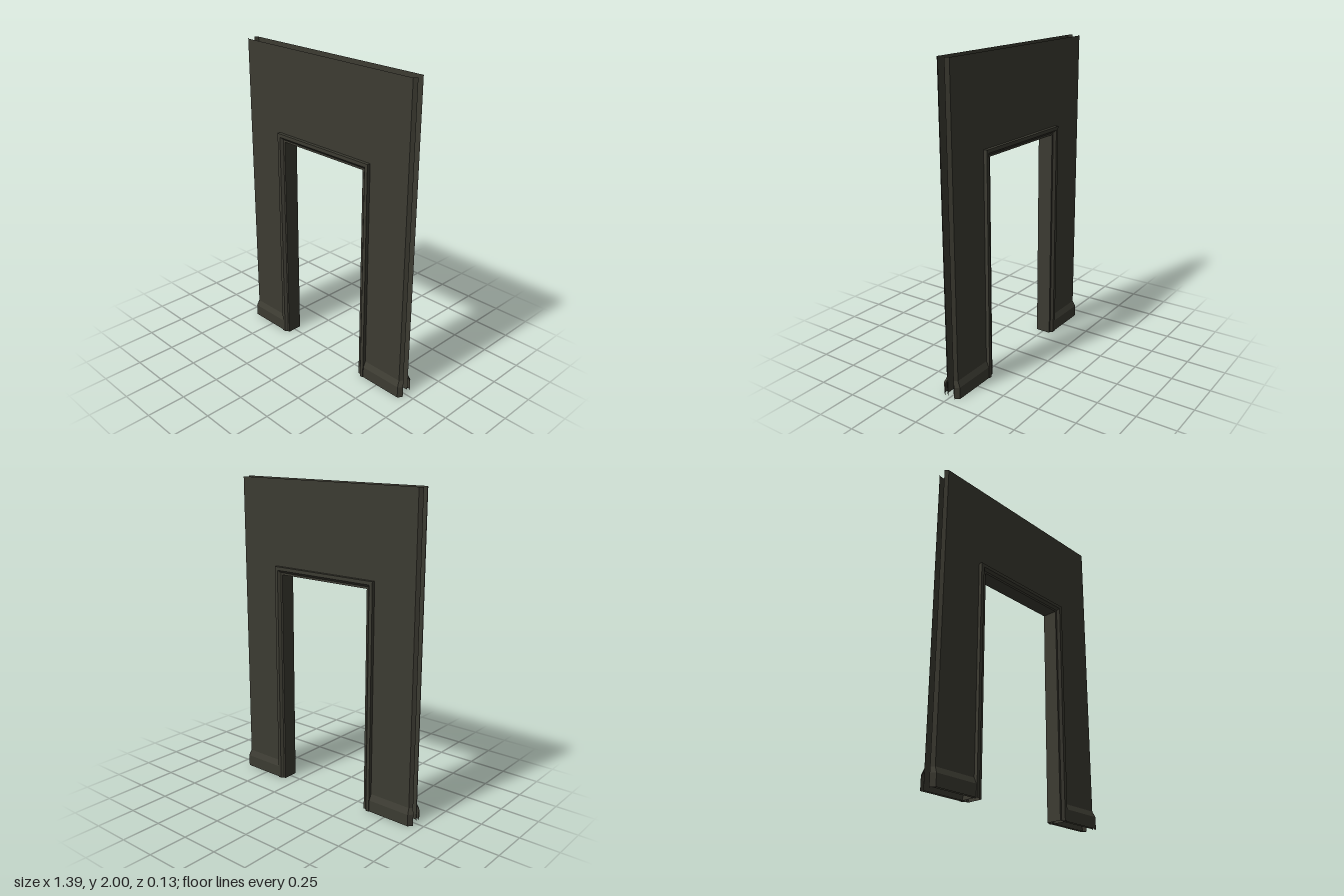
import * as THREE from 'three';

const paint = new THREE.MeshStandardMaterial({ color: 0x3c3b32, side: THREE.DoubleSide });
paint.name = 'dark olive paint';

// Flat-shaded sheet through rows of matching cross-section points
function loft(rows) {
  const pos = [];
  for (let i = 0; i < rows.length - 1; i++) {
    for (let j = 0; j < rows[i].length - 1; j++) {
      const a = rows[i][j], b = rows[i][j + 1], c = rows[i + 1][j + 1], d = rows[i + 1][j];
      pos.push(...a, ...b, ...c, ...a, ...c, ...d);
    }
  }
  const g = new THREE.BufferGeometry();
  g.setAttribute('position', new THREE.Float32BufferAttribute(pos, 3));
  g.computeVertexNormals();
  return g;
}

function add(group, name, geometry) {
  const m = new THREE.Mesh(geometry, paint);
  m.name = name;
  group.add(m);
}

// Plan path of [x, z] points raised to height y, mirrored for the other side
function row(path, y, side) {
  const pts = path.map(([x, z]) => [x * side, y, z]);
  return side < 0 ? pts.reverse() : pts;
}

const H = 2;
const WALL_Z = 0.042;
const wallPath = [[0.37, WALL_Z], [0.667, WALL_Z], [0.684, 0.021]];
const skirtInner = [[0.384, WALL_Z], [0.667, WALL_Z], [0.684, 0.021]];
const skirtOuter = [[0.384, 0.06], [0.673, 0.06], [0.695, 0.033]];

// One face of the wall: header, two side panels with turned-in ends, skirting
function wallFace(name) {
  const g = new THREE.Group();
  g.name = name;
  const header = [[-0.37, WALL_Z], [0.37, WALL_Z]];
  add(g, 'headerPanel', loft([row(header, 1.44, 1), row(header, H, 1)]));
  for (const side of [-1, 1]) {
    const label = side > 0 ? 'left' : 'right';
    add(g, label + 'Panel', loft([row(wallPath, 0, side), row(wallPath, H, side)]));
    add(g, label + 'Skirting', loft([
      row(skirtOuter, 0, side), row(skirtOuter, 0.075, side), row(skirtInner, 0.112, side),
    ]));
  }
  return g;
}

// Mitred door frame: a closed trim profile swept up, across and down
function doorFrame() {
  const half = [[0.385, 0.065], [0.363, 0.065], [0.348, 0.05], [0.335, 0.05]];
  const profile = [...half, ...half.map(([r, z]) => [r, -z]).reverse(), half[0]];
  const section = (side, top) => profile.map(([r, z]) => [side * r, top ? 1.07 + r : 0, z]);
  return loft([section(-1, false), section(-1, true), section(1, true), section(1, false)]);
}

export function createModel() {
  const model = new THREE.Group();
  model.name = 'doorwayWall';
  const front = wallFace('frontWall');
  const back = wallFace('backWall');
  back.rotation.y = Math.PI;
  model.add(front, back);
  add(model, 'doorFrame', doorFrame());
  return model;
}
